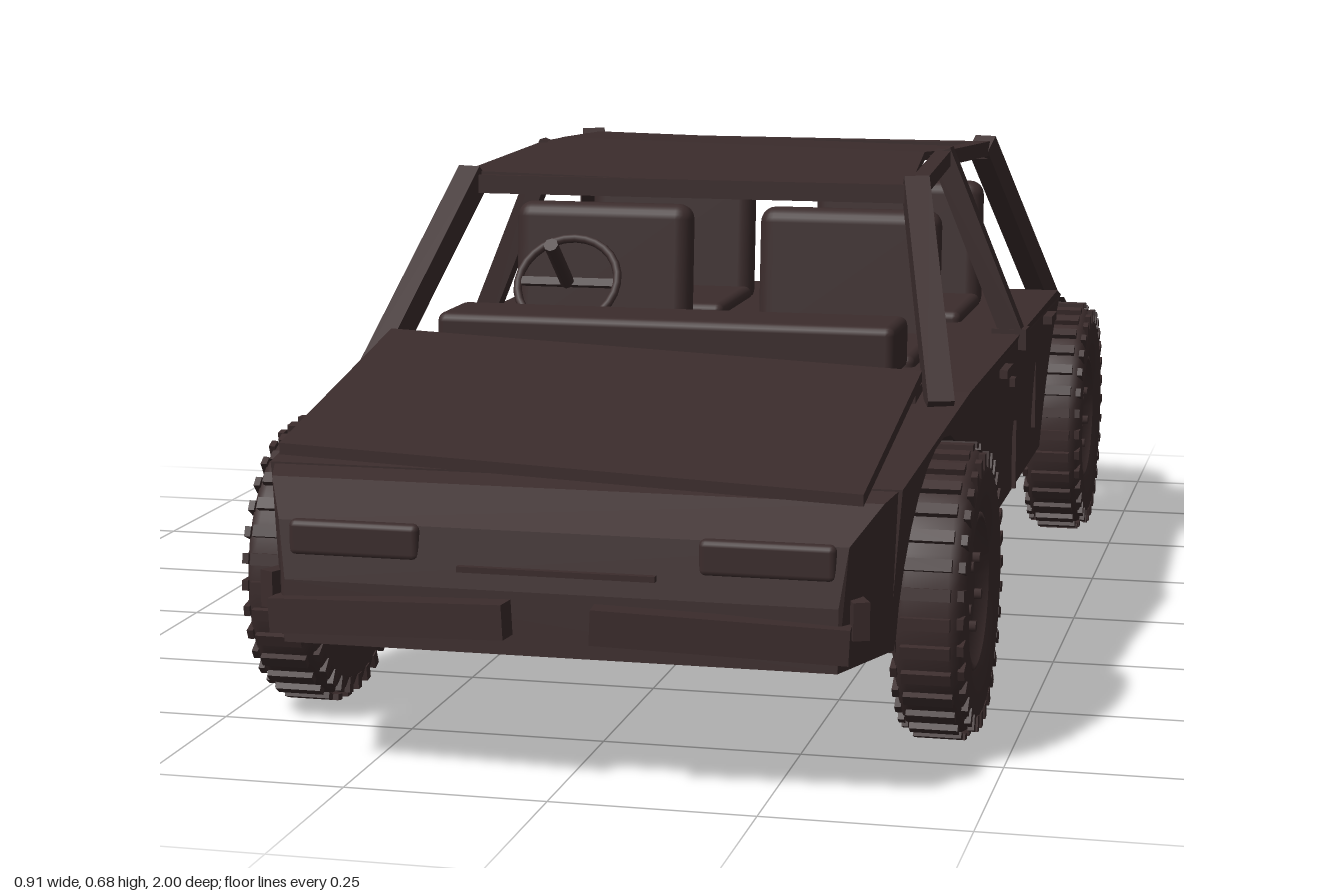
import * as THREE from 'three';
import { RoundedBoxGeometry } from 'three/addons/geometries/RoundedBoxGeometry.js';
import { ConvexGeometry } from 'three/addons/geometries/ConvexGeometry.js';

export function createModel() {
  const car = new THREE.Group();
  car.name = 'burntCar';
  const charred = new THREE.MeshStandardMaterial({ color: 0x3b2c2c });
  charred.name = 'charredMetal';
  const V = (x, y, z) => new THREE.Vector3(x, y, z);

  const add = (name, geo, parent = car) => {
    const m = new THREE.Mesh(geo, charred);
    m.name = name;
    parent.add(m);
    return m;
  };
  const box = (name, w, h, d, x, y, z, parent = car) => {
    const m = add(name, new THREE.BoxGeometry(w, h, d), parent);
    m.position.set(x, y, z);
    return m;
  };
  const bar = (name, a, b, t = 0.03) => {
    const m = box(name, t, t, a.distanceTo(b) + t * 0.6, 0, 0, 0);
    m.position.copy(a).add(b).multiplyScalar(0.5);
    m.lookAt(b);
    return m;
  };
  // Move every vertex of a geometry by a rule
  const bend = (geo, rule) => {
    const p = geo.attributes.position, v = V(0, 0, 0);
    for (let i = 0; i < p.count; i++) {
      rule(v.fromBufferAttribute(p, i));
      p.setXYZ(i, v.x, v.y, v.z);
    }
    geo.computeVertexNormals();
    return geo;
  };

  // Body slabs: side profiles in (z, y), extruded across x
  const FLOOR = 0.165;
  const slab = (name, pts, x0, x1) => {
    const shape = new THREE.Shape(pts.map(([z, y]) => new THREE.Vector2(z, y)));
    const geo = new THREE.ExtrudeGeometry(shape, { depth: x1 - x0, bevelEnabled: false });
    geo.rotateY(-Math.PI / 2).translate(x1, 0, 0);
    bend(geo, v => {
      if (Math.abs(v.x) < 0.3) return;
      const s = Math.sign(v.x);
      v.x = s * (0.395 + (v.y - FLOOR) * 0.08 - Math.max(0, Math.abs(v.z) - 0.4) * 0.045);
    });
    add(name, geo);
  };
  // Wheel arch points from angle a to b
  const arch = (zc, yc, r, a, b, n = 14) => Array.from({ length: n + 1 }, (_, i) => {
    const t = a + (b - a) * i / n;
    return [zc + r * Math.cos(t), yc + r * Math.sin(t)];
  });
  const WHEEL_Y = 0.188, ZF = 0.62, ZR = -0.615;
  const deck = [[-0.5, 0.41], [0.46, 0.41], [0.85, 0.36]];
  slab('bodyCore', [[0.85, FLOOR], ...deck.slice().reverse(), [-0.85, 0.335], [-0.85, FLOOR]], -0.265, 0.265);
  for (const s of [1, -1]) {
    const x0 = s > 0 ? 0.265 : -0.41, x1 = s > 0 ? 0.41 : -0.265;
    const low = -0.12;
    slab('bodySide', [
      ...arch(ZR, 0.195, 0.195, Math.acos(0.015 / 0.195), low),
      ...arch(ZF, WHEEL_Y, 0.192, Math.PI - low, low),
      [0.85, FLOOR], ...deck.slice().reverse(),
    ], x0, x1);
    slab('rearQuarter', [
      [-0.85, FLOOR], [-0.85, 0.335], ...arch(ZR, 0.195, 0.195, Math.acos(-0.085 / 0.195), Math.PI - low),
    ], x0, x1);
  }
  // Tapered nose and tail
  const hull = (name, pts) => add(name, new ConvexGeometry(
    pts.flatMap(([x, y, z]) => [V(x, y, z), V(-x, y, z)])));
  hull('nose', [[0.38, FLOOR, 0.84], [0.388, 0.36, 0.84], [0.375, 0.35, 0.885], [0.345, 0.31, 0.943],
    [0.335, 0.24, 0.955], [0.335, FLOOR, 0.96]]);
  hull('tail', [[0.38, FLOOR, -0.84], [0.386, 0.336, -0.84], [0.36, 0.325, -0.89], [0.33, 0.25, -0.955],
    [0.33, FLOOR, -0.96]]);

  // Sprung hood, tilted and twisted
  add('hood', bend(new THREE.BoxGeometry(0.71, 0.014, 0.41), v => {
    v.y += 0.412 - 0.1875 * v.z - 0.043 * v.x;
    v.z += 0.705;
  }));
  box('cowl', 0.7, 0.02, 0.1, 0, 0.41, 0.47);

  // Buckled roof
  add('roof', bend(new THREE.BoxGeometry(0.6, 0.012, 0.64, 1, 1, 2).toNonIndexed(), v => {
    const mid = Math.abs(v.z) < 0.01;
    if (mid) v.x *= 0.9;
    v.y += (mid ? 0.67 : 0.65) - 0.02 * v.x;
    v.z -= 0.03;
  }));
  bar('windshieldHeader', V(-0.31, 0.645, 0.285), V(0.31, 0.645, 0.285), 0.025);
  bar('rearHeader', V(-0.31, 0.645, -0.35), V(0.31, 0.645, -0.35), 0.025);

  for (const s of [1, -1]) {
    // Pillars and roof rails
    const front = V(s * 0.31, 0.65, 0.285), mid = V(s * 0.295, 0.662, -0.05), back = V(s * 0.31, 0.648, -0.35);
    bar('frontPillar', V(s * 0.38, 0.405, 0.515), front, 0.034);
    bar('middlePillar', V(s * 0.4, 0.405, -0.05), mid, 0.032);
    bar('rearPillar', V(s * 0.38, 0.395, -0.56), back, 0.034);
    bar('roofRail', front, mid, 0.022);
    bar('roofRail', mid, back, 0.022);
    box('pillarFoot', 0.05, 0.03, 0.035, s * 0.395, 0.402, -0.05);

    // Door seams, handles and side trim
    for (const z of [0.235, -0.05, -0.27]) box('doorSeam', 0.006, 0.1, 0.005, s * 0.403, 0.23 + (z === -0.27 ? 0.05 : 0), z);
    for (const z of [0.14, -0.37]) box('doorHandle', 0.014, 0.012, 0.06, s * 0.414, 0.385, z);
    box('doorLock', 0.008, 0.012, 0.02, s * 0.413, 0.355, 0.05);

    // Headlights, tail lights, corner lights, bumper halves
    const lamp = add('headlight', new RoundedBoxGeometry(0.162, 0.044, 0.02, 2, 0.008));
    lamp.position.set(s * 0.25, 0.29, 0.942);
    const tailLamp = add('tailLight', new RoundedBoxGeometry(0.14, 0.04, 0.016, 2, 0.007));
    tailLamp.position.set(s * 0.23, 0.265, -0.945);
    tailLamp.rotation.x = 0.3;
    for (const e of [1, -1]) {
      const bumper = box('bumperHalf', 0.3, 0.042, 0.03, s * 0.2, 0.206, e * 0.97);
      bumper.rotation.set(0, s * e * 0.1, s * -0.05);
      const corner = box('cornerLight', 0.02, 0.045, 0.04, s * 0.352, 0.225, e * 0.93);
      corner.rotation.y = s * e * 0.45;
    }

    // Seats: backs lean rearward over low cushions
    for (const z of [0.065, -0.35]) {
      const seatBack = add('seatBack', new RoundedBoxGeometry(0.26, 0.2, 0.05, 3, 0.022));
      seatBack.position.set(s * 0.18, 0.497, z);
      seatBack.rotation.x = -0.09;
      const cushion = add('seatCushion', new RoundedBoxGeometry(0.26, 0.04, 0.21, 2, 0.012));
      cushion.position.set(s * 0.18, 0.406, z + 0.12);
    }
  }
  box('grilleSlit', 0.24, 0.007, 0.01, 0, 0.264, 0.954);

  // Dashboard and steering wheel
  const dash = add('dashboard', new RoundedBoxGeometry(0.62, 0.07, 0.115, 2, 0.012));
  dash.position.set(0, 0.453, 0.392);
  const steering = new THREE.Group();
  steering.name = 'steeringWheel';
  steering.position.set(-0.17, 0.513, 0.3);
  steering.rotation.x = -0.66 + Math.PI;
  add('steeringRim', new THREE.TorusGeometry(0.07, 0.006, 8, 28), steering);
  box('steeringSpoke', 0.135, 0.012, 0.006, 0, 0, 0, steering);
  const column = add('steeringColumn', new THREE.CylinderGeometry(0.01, 0.01, 0.1, 8), steering);
  column.rotation.x = Math.PI / 2;
  column.position.z = -0.05;
  car.add(steering);

  // Wheels: sagging tyre, dished rim, bolts and tread lugs; local y is the outward axis
  const tyreProfile = [[0.098, -0.04], [0.15, -0.045], [0.168, -0.039], [0.176, -0.026], [0.176, 0.026],
    [0.168, 0.039], [0.15, 0.045], [0.115, 0.043], [0.098, 0.036]].map(p => new THREE.Vector2(...p));
  const rimProfile = [[0, -0.03], [0.1, -0.03], [0.1, 0.036], [0.092, 0.038], [0.084, 0.02], [0.055, 0.026],
    [0.03, 0.028], [0, 0.028]].map(p => new THREE.Vector2(...p));
  for (const s of [1, -1]) for (const z of [ZF, ZR]) {
    const wheel = new THREE.Group();
    wheel.name = 'wheel';
    wheel.position.set(s * 0.41, WHEEL_Y, z);
    wheel.rotation.z = -s * Math.PI / 2;
    const tyre = new THREE.LatheGeometry(tyreProfile, 40);
    const p = tyre.attributes.position;
    // World down is local +x on the left side and -x on the right
    for (let i = 0; i < p.count; i++) if (p.getX(i) * s > 0.167) p.setX(i, s * 0.167);
    add('tyre', tyre, wheel);
    add('rim', new THREE.LatheGeometry(rimProfile, 32), wheel);
    for (let i = 0; i < 5; i++) {
      const t = i / 5 * Math.PI * 2;
      const bolt = add('wheelBolt', new THREE.CylinderGeometry(0.007, 0.007, 0.012, 6), wheel);
      bolt.position.set(0.045 * Math.cos(t), 0.03, 0.045 * Math.sin(t));
    }
    const LUGS = 32;
    for (let i = 0; i < LUGS; i++) {
      const t = i / LUGS * Math.PI * 2, c = Math.cos(t), n = Math.sin(t);
      const lug = box('treadLug', 0.008, 0.06, 0.015, 0.181 * c, 0, 0.181 * n, wheel);
      lug.rotation.y = -t;
      for (const e of [1, -1]) {
        const edge = box('shoulderLug', 0.02, 0.008, 0.013, 0.164 * c, e * 0.041, 0.164 * n, wheel);
        edge.rotation.y = -t;
      }
    }
    car.add(wheel);
  }
  return car;
}
